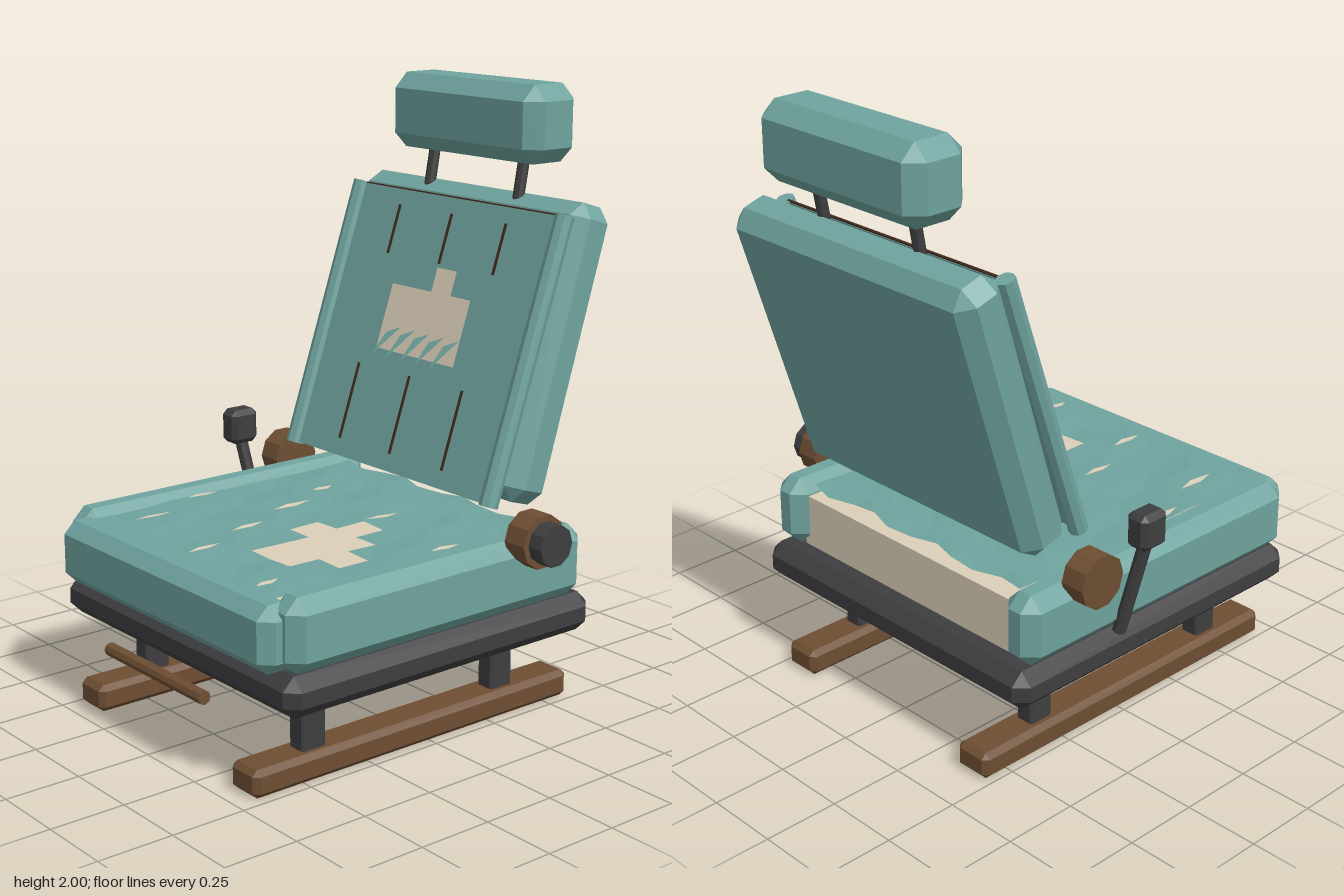
import * as THREE from 'three';
import { ConvexGeometry } from 'three/addons/geometries/ConvexGeometry.js';

const mat = (name, color, side = THREE.FrontSide) => {
  const m = new THREE.MeshStandardMaterial({ color, side });
  m.name = name;
  return m;
};

export function createModel() {
  const root = new THREE.Group();
  root.name = 'vehicleSeat';
  const teal = mat('tealVinyl', 0x6fa39e);
  const tealSheet = mat('tealVinylSheet', 0x6fa39e, THREE.DoubleSide);
  const cream = mat('creamFoam', 0xdccfb8, THREE.DoubleSide);
  const metal = mat('darkMetal', 0x3e3e40);
  const rust = mat('rustBrown', 0x6e4e33);
  const slitBrown = mat('darkBrownStitch', 0x40281a);

  const add = (name, geo, material, parent = root) => {
    const mesh = new THREE.Mesh(geo, material);
    mesh.name = name;
    parent.add(mesh);
    return mesh;
  };

  // Box with every edge cut, given by its min and max corners
  const chamferBox = (name, lo, hi, c, material, parent = root) => {
    const h = lo.map((v, i) => (hi[i] - v) / 2);
    const pts = [];
    for (const sx of [-1, 1]) for (const sy of [-1, 1]) for (const sz of [-1, 1])
      for (let full = 0; full < 3; full++) {
        const p = [sx, sy, sz].map((s, i) => s * (h[i] - (i === full ? 0 : c)));
        pts.push(new THREE.Vector3(...p));
      }
    const mesh = add(name, new ConvexGeometry(pts), material, parent);
    mesh.position.set(...lo.map((v, i) => (v + hi[i]) / 2));
    return mesh;
  };

  // Faceted rod between two points
  const rod = (name, a, b, r, sides, material, parent = root) => {
    const A = new THREE.Vector3(...a), B = new THREE.Vector3(...b);
    const d = B.clone().sub(A);
    const geo = new THREE.CylinderGeometry(r, r, d.length(), sides).toNonIndexed();
    geo.computeVertexNormals();
    const mesh = add(name, geo, material, parent);
    mesh.position.copy(A).add(B).multiplyScalar(0.5);
    mesh.quaternion.setFromUnitVectors(new THREE.Vector3(0, 1, 0), d.normalize());
    return mesh;
  };

  const faces = (positions) => {
    const g = new THREE.BufferGeometry();
    g.setAttribute('position', new THREE.Float32BufferAttribute(positions, 3));
    g.computeVertexNormals();
    return g;
  };

  // Floor rails and legs
  for (const [side, x] of [['right', -0.42], ['left', 0.413]]) {
    chamferBox(side + 'Rail', [x - 0.066, 0, -0.6], [x + 0.066, 0.09, 0.69], 0.018, rust);
    for (const [end, z] of [['Front', 0.445], ['Back', -0.328]])
      chamferBox(side + end + 'Leg', [x - 0.034, 0.08, z - 0.046], [x + 0.034, 0.29, z + 0.046], 0.008, metal);
  }
  rod('adjusterBar', [-0.26, 0.26, 0.71], [0.255, 0.26, 0.71], 0.022, 8, rust);

  // Base frame and cushion
  chamferBox('baseFrame', [-0.615, 0.275, -0.575], [0.612, 0.405, 0.66], 0.04, metal);
  const foam = add('cushionFoam', new THREE.BoxGeometry(0.99, 0.18, 1.09), cream);
  foam.position.set(0, 0.5, 0.055);
  chamferBox('rightBolster', [-0.613, 0.405, -0.535], [-0.475, 0.64, 0.645], 0.045, teal);
  chamferBox('leftBolster', [0.472, 0.405, -0.535], [0.61, 0.64, 0.645], 0.045, teal);
  chamferBox('frontBolster', [-0.56, 0.405, 0.57], [0.553, 0.615, 0.708], 0.04, teal);

  // Worn seat cover: a wavy grid with torn-out cells
  const coverY = (x, z) => 0.616 + 0.005 * Math.sin(19 * x + 3 * z) * Math.cos(13 * z);
  const torn = ['6,4', '5,5', '6,5', '7,5', '6,6', '7,6', '8,6', '6,7', '7,7'];
  const corner = (i, j) => {
    const x = -0.49 + i * 0.097;
    const z = -0.49 + j * 0.1125 + (j === 0 ? 0.03 + 0.02 * Math.sin(i * 1.9) : 0);
    return [x, coverY(x, z), z];
  };
  const cover = [];
  for (let i = 0; i < 10; i++) for (let j = 0; j < 10; j++) {
    if (torn.includes(i + ',' + j)) continue;
    const [a, b, c, d] = [corner(i, j), corner(i, j + 1), corner(i + 1, j + 1), corner(i + 1, j)];
    cover.push(...a, ...b, ...c, ...a, ...c, ...d);
  }
  add('seatCover', faces(cover), tealSheet);

  // Small cuts in the cover: x, z, half length
  const cuts = [[-0.283, -0.17, 0.045], [-0.19, 0.035, 0.08], [-0.466, 0.2, 0.065], [-0.378, 0.455, 0.075],
    [-0.004, 0.52, 0.065], [-0.096, 0.285, 0.065], [0.09, -0.12, 0.07], [0.37, 0.56, 0.045],
    [0.46, -0.06, 0.06], [0.285, 0.39, 0.04]];
  const cutFaces = [];
  for (const [x, z, l] of cuts) {
    const P = (dx, dz) => [x + dx, coverY(x + dx, z + dz) + 0.005, z + dz];
    const [n, w, s, e] = [P(-0.003, -l), P(-0.013, 0.012), P(0.003, l), P(0.014, -0.008)];
    cutFaces.push(...n, ...w, ...s, ...n, ...s, ...e);
  }
  add('coverCuts', faces(cutFaces), cream);

  // Backrest shell
  const shell = chamferBox('backrestShell', [-0.535, -0.482, -0.087], [0.53, 0.482, 0.087], 0.048, teal);
  shell.position.set(0, 1.175, -0.495);
  shell.rotation.x = -0.302;

  // Backrest front panel, built upright and then leaned back
  const back = new THREE.Group();
  back.name = 'backrestPanel';
  back.position.set(0, 0.735, -0.215);
  back.rotation.x = -0.33;
  root.add(back);
  const panel = add('panelCover', new THREE.BoxGeometry(0.96, 0.925, 0.012), teal, back);
  panel.position.y = 0.4625;
  for (const [side, x] of [['right', -0.49], ['left', 0.488]])
    rod(side + 'Piping', [x, -0.005, 0], [x, 0.93, 0], 0.031, 8, teal, back);
  const seam = add('topSeam', new THREE.BoxGeometry(0.95, 0.006, 0.008), slitBrown, back);
  seam.position.set(0, 0.927, 0);
  for (const x of [-0.26, -0.002, 0.254])
    for (const [y0, y1] of [[0.058, 0.322], [0.703, 0.872]]) {
      const slit = add('panelSlit', new THREE.BoxGeometry(0.009, y1 - y0, 0.008), slitBrown, back);
      slit.position.set(x, (y0 + y1) / 2, 0.006);
    }

  // Exposed foam with torn flaps
  const patch = new THREE.Shape([[-0.195, 0.386], [0.187, 0.386], [0.187, 0.608], [0.092, 0.608],
    [0.092, 0.69], [-0.002, 0.69], [-0.002, 0.608], [-0.195, 0.608]].map((p) => new THREE.Vector2(...p)));
  add('exposedFoam', new THREE.ShapeGeometry(patch), cream, back).position.z = 0.009;
  const flaps = [];
  for (let i = 0; i < 5; i++) {
    const x = -0.163 + i * 0.071;
    flaps.push(x, 0.445, 0.011, x + 0.035, 0.357, 0.085, x + 0.064, 0.472, 0.011);
  }
  add('tornFlaps', faces(flaps), tealSheet, back);

  // Headrest
  for (const [side, x] of [['right', -0.217], ['left', 0.21]])
    rod(side + 'HeadrestPost', [x, 1.58, -0.575], [x, 1.8, -0.615], 0.019, 8, metal);
  chamferBox('headrest', [-0.357, 1.75, -0.727], [0.353, 2, -0.505], 0.05, teal);

  // Recline knobs
  rod('leftKnob', [0.58, 0.645, -0.287], [0.664, 0.645, -0.287], 0.088, 10, rust);
  rod('leftKnobCap', [0.65, 0.645, -0.287], [0.718, 0.645, -0.287], 0.068, 10, metal);
  rod('rightKnob', [-0.665, 0.645, -0.287], [-0.58, 0.645, -0.287], 0.088, 10, rust);

  // Recline lever
  rod('leverStick', [-0.613, 0.405, -0.155], [-0.682, 0.74, -0.115], 0.022, 8, metal);
  chamferBox('leverGrip', [-0.72, 0.71, -0.168], [-0.636, 0.83, -0.06], 0.018, metal);

  return root;
}
